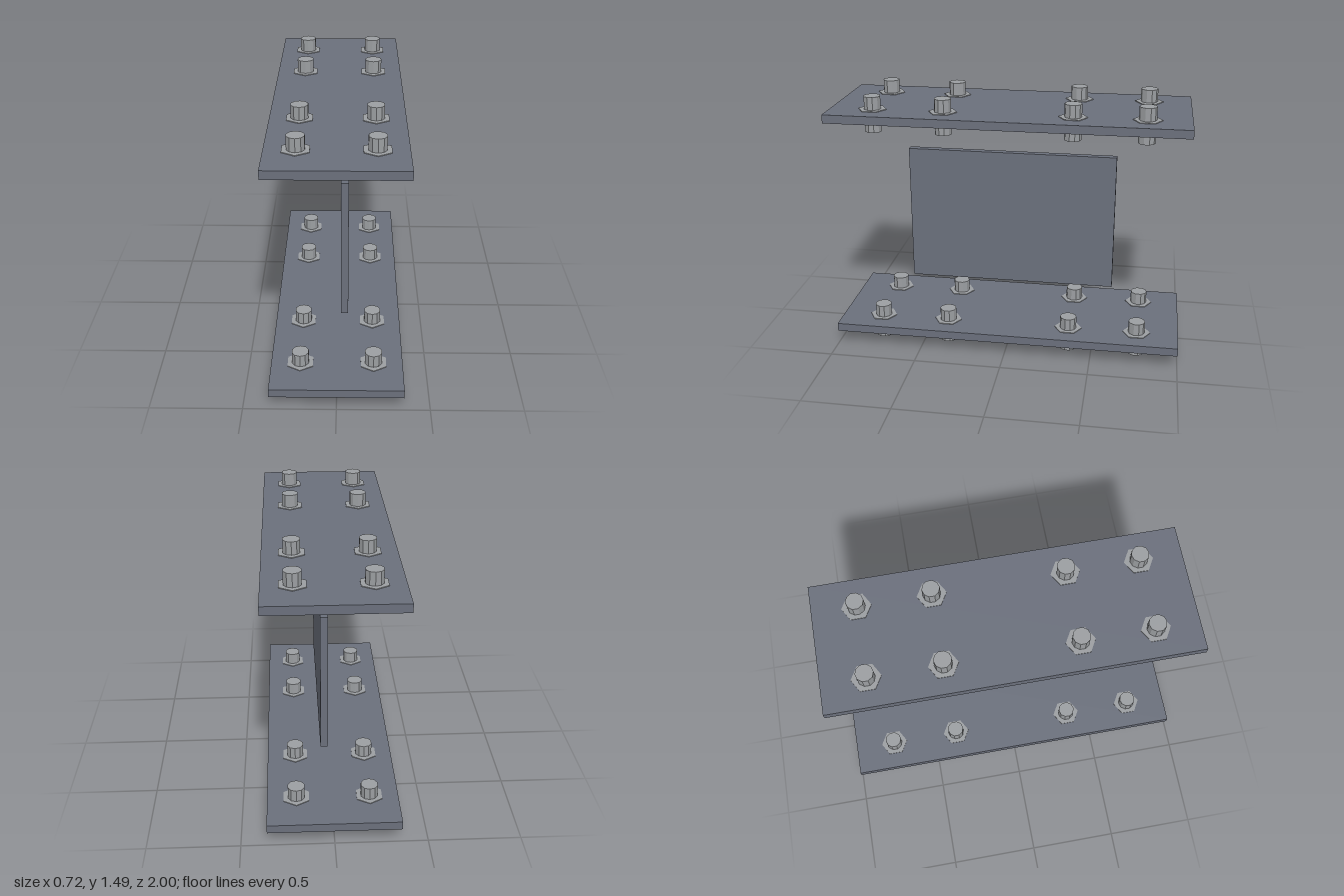
import * as THREE from 'three';

export function createModel() {
  const model = new THREE.Group();
  model.name = 'boltedBeam';

  const steel = new THREE.MeshStandardMaterial({ color: 0x6b707c });
  steel.name = 'dark steel';
  const boltMetal = new THREE.MeshStandardMaterial({ color: 0x9c9fa2 });
  boltMetal.name = 'bolt metal';
  steel.flatShading = boltMetal.flatShading = true;

  const add = (parent, name, geometry, material, x, y, z) => {
    const mesh = new THREE.Mesh(geometry, material);
    mesh.name = name;
    mesh.position.set(x, y, z);
    parent.add(mesh);
  };

  // Upright web, slightly off centre, floating between the flanges
  add(model, 'web', new THREE.BoxGeometry(0.04, 0.8, 1.2), steel, 0.04, 0.744, 0);

  const plate = new THREE.BoxGeometry(0.72, 0.048, 2);
  const shank = new THREE.CylinderGeometry(0.048, 0.048, 0.202, 10);
  const hex = new THREE.CylinderGeometry(0.08, 0.08, 0.056, 6);

  // Flange plates, each with two rows of four bolts through it
  for (const [side, plateY, boltY] of [['lower', 0.104, 0.101], ['upper', 1.384, 1.384]]) {
    const flange = new THREE.Group();
    flange.name = side + 'Flange';
    model.add(flange);
    add(flange, side + 'Plate', plate, steel, 0, plateY, 0);
    for (const x of [-0.2, 0.2]) {
      for (const z of [-0.76, -0.36, 0.36, 0.76]) {
        add(flange, 'boltShank', shank, boltMetal, x, boltY, z);
        add(flange, 'hexNut', hex, boltMetal, x, plateY, z);
      }
    }
  }
  return model;
}
